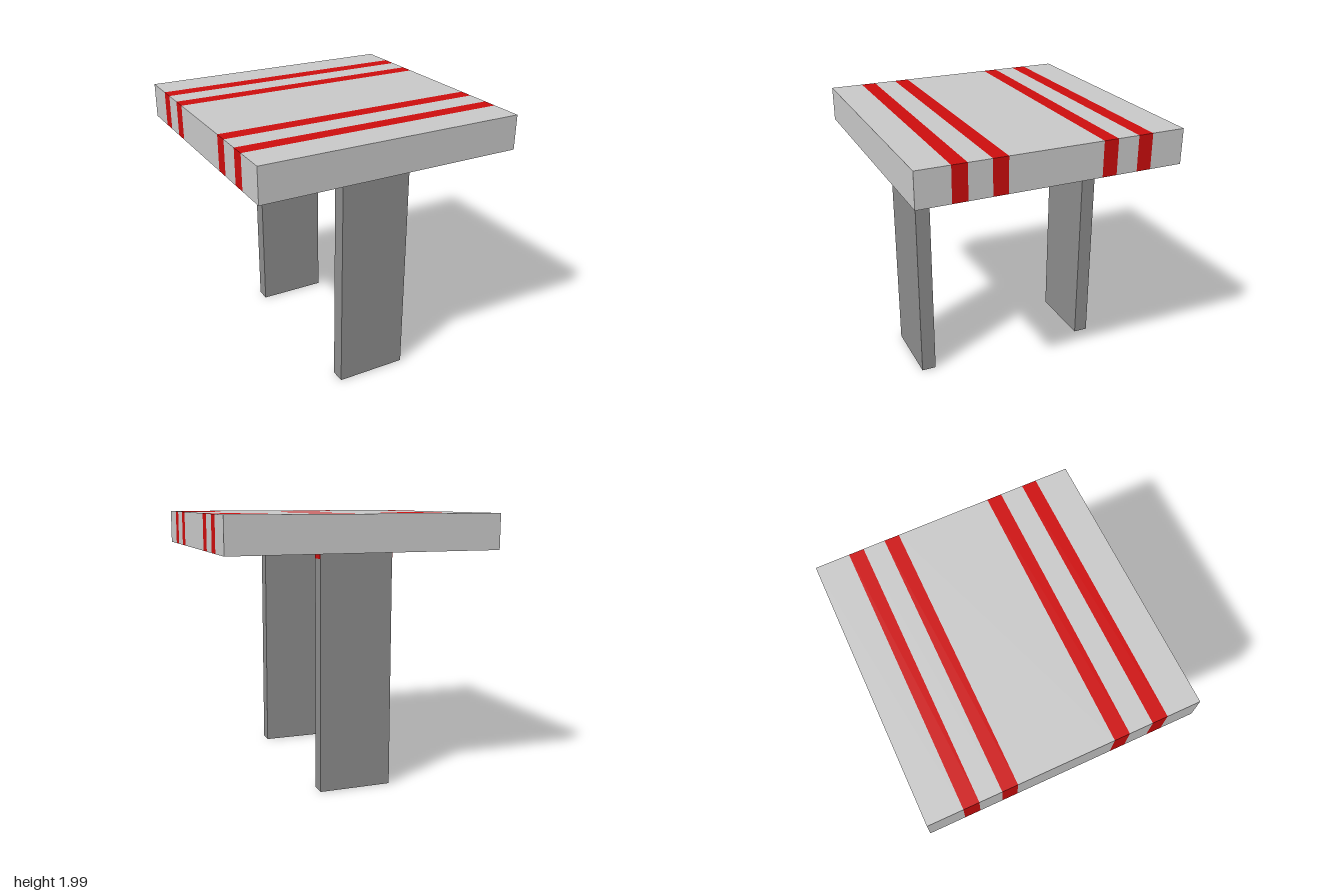
import * as THREE from 'three';

export function createModel() {
  const model = new THREE.Group();
  model.name = 'stripedTable';

  const mat = (name, color) => {
    const m = new THREE.MeshStandardMaterial({ color });
    m.name = name;
    return m;
  };
  const lightGrey = mat('lightGrey', 0xc8c8c8);
  const red = mat('red', 0xcc0d0d);
  const darkGrey = mat('darkGrey', 0x8c8c8c);

  // Box from its minimum and maximum corners
  const box = (name, material, min, max, parent = model) => {
    const size = max.map((v, i) => v - min[i]);
    const mesh = new THREE.Mesh(new THREE.BoxGeometry(...size), material);
    mesh.position.set(...max.map((v, i) => (v + min[i]) / 2));
    mesh.name = name;
    parent.add(mesh);
    return mesh;
  };

  // Table top: alternating grey boards and red inlays running along x
  const top = new THREE.Group();
  top.name = 'tableTop';
  model.add(top);
  const seams = [-0.98, -0.73, -0.62, -0.46, -0.35, 0.345, 0.455, 0.625, 0.735, 0.98];
  for (let i = 0; i < seams.length - 1; i++) {
    const inlay = i % 2 === 1;
    box(inlay ? 'redInlay' : 'board', inlay ? red : lightGrey,
      [-1, 1.73, seams[i]], [1, 1.99, seams[i + 1]], top);
  }

  // Two plank legs, each with a red patch at the top of both narrow edges
  for (const side of [1, -1]) {
    const leg = new THREE.Group();
    leg.name = side > 0 ? 'frontLeg' : 'backLeg';
    model.add(leg);
    const z = side * 0.687;
    box('plank', darkGrey, [-0.27, 0, z - 0.055], [0.27, 1.73, z + 0.055], leg);
    for (const s of [1, -1]) {
      const x = s * 0.271;
      box('edgePatch', red, [x - 0.002, 1.68, z - 0.054], [x + 0.002, 1.73, z + 0.054], leg);
    }
  }
  return model;
}
